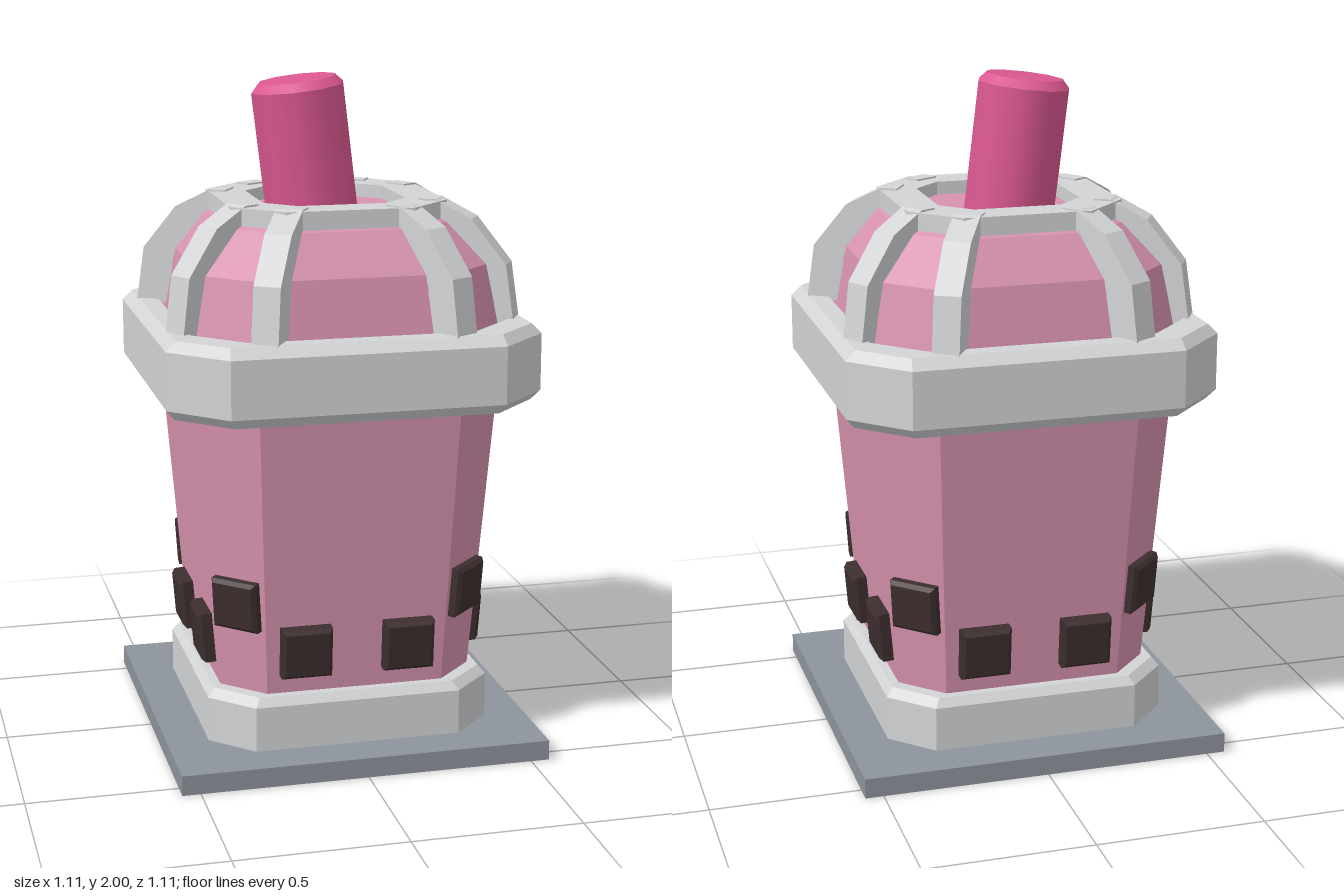
import * as THREE from 'three';

const mat = (name, color) => {
  const m = new THREE.MeshStandardMaterial({ color });
  m.name = name;
  return m;
};

// Square of half-width h with corners cut by c, counter-clockwise from above
function ringPoints([y, h, c]) {
  const f = h - c;
  return [[-f, h], [f, h], [h, f], [h, -f], [f, -h], [-f, -h], [-h, -f], [-h, f]]
    .map(([x, z]) => [x, y, z]);
}

// Flat-sided loft through rings [y, halfWidth, cornerCut]; a zero ring closes an end
function loft(profile) {
  const pos = [];
  const rings = profile.map(ringPoints);
  for (let k = 0; k < rings.length - 1; k++) {
    const a = rings[k], b = rings[k + 1];
    for (let i = 0; i < 8; i++) {
      const j = (i + 1) % 8;
      if (profile[k][1] > 0) pos.push(...a[i], ...a[j], ...b[j]);
      if (profile[k + 1][1] > 0) pos.push(...a[i], ...b[j], ...b[i]);
    }
  }
  const g = new THREE.BufferGeometry();
  g.setAttribute('position', new THREE.Float32BufferAttribute(pos, 3));
  g.computeVertexNormals();
  return g;
}

export function createModel() {
  const model = new THREE.Group();
  model.name = 'bubbleTeaCup';
  const grey = mat('light grey trim', 0xd2d4d6);
  const slate = mat('slate plate', 0x8e949c);
  const pink = mat('milky pink', 0xd893af);
  const magenta = mat('straw magenta', 0xdc5891);
  const brown = mat('pearl brown', 0x3d2e2e);

  const add = (name, geometry, material, parent = model) => {
    const mesh = new THREE.Mesh(geometry, material);
    mesh.name = name;
    parent.add(mesh);
    return mesh;
  };

  // Ground plate and foot
  add('basePlate', new THREE.BoxGeometry(1.11, 0.06, 1.11), slate).position.y = 0.03;
  add('foot', loft([
    [0.06, 0, 0], [0.06, 0.43, 0.12], [0.195, 0.43, 0.12], [0.22, 0.41, 0.115], [0.22, 0, 0],
  ]), grey);

  // Flared cup
  add('cup', loft([
    [0.2, 0, 0], [0.2, 0.383, 0.117], [1.27, 0.47, 0.165], [1.27, 0, 0],
  ]), pink);

  // Thick rim around the cup mouth
  add('rim', loft([
    [1.07, 0.44, 0.15], [1.07, 0.53, 0.145], [1.1, 0.555, 0.155], [1.27, 0.555, 0.155],
    [1.3, 0.525, 0.13], [1.3, 0.47, 0.14], [1.2, 0.47, 0.14],
  ]), grey);

  // Domed lid with its collar
  add('dome', loft([
    [1.25, 0.455, 0.14], [1.3, 0.447, 0.14], [1.46, 0.42, 0.135],
    [1.58, 0.335, 0.13], [1.6, 0.3, 0.12], [1.6, 0, 0],
  ]), pink);
  add('collar', loft([
    [1.58, 0.2, 0.08], [1.58, 0.325, 0.135], [1.64, 0.325, 0.135],
    [1.64, 0.215, 0.085], [1.58, 0.215, 0.085],
  ]), grey);

  // Eight radial ribs over the dome, profile in (radius, height)
  const ribShape = new THREE.Shape([
    [0.59, 1.29], [0.565, 1.46], [0.46, 1.59], [0.35, 1.645],
    [0.3, 1.645], [0.3, 1.57], [0.4, 1.53], [0.47, 1.43], [0.48, 1.29],
  ].map(([r, y]) => new THREE.Vector2(r, y)));
  const ribGeometry = new THREE.ExtrudeGeometry(ribShape, { depth: 0.08, bevelEnabled: false });
  ribGeometry.translate(0, 0, -0.04);
  for (let q = 0; q < 4; q++) {
    for (const a of [Math.PI / 6, Math.PI / 3]) {
      add('domeRib', ribGeometry, grey).rotation.y = a + q * Math.PI / 2;
    }
  }

  // Square pearls: two on every side, one on every cut corner
  const s = 0.065;
  const square = new THREE.Shape([
    new THREE.Vector2(-s, -s), new THREE.Vector2(s, -s),
    new THREE.Vector2(s, s), new THREE.Vector2(-s, s),
  ]);
  const pearlGeometry = new THREE.ExtrudeGeometry(square, {
    depth: 0.05, bevelSize: 0.011, bevelThickness: 0.011, bevelSegments: 1,
  });
  pearlGeometry.translate(0, 0, -0.061);
  const addPearl = (angle, x, y, z) => {
    const turn = new THREE.Group();
    turn.name = 'pearl';
    turn.rotation.y = angle;
    const pearl = add('pearlBlock', pearlGeometry, brown, turn);
    pearl.position.set(x, y, z);
    pearl.rotation.x = 0.08;
    model.add(turn);
  };
  for (let q = 0; q < 4; q++) {
    const a = q * Math.PI / 2;
    for (const x of [-0.155, 0.155]) addPearl(a, x, 0.35, 0.438);
    addPearl(a + Math.PI / 4, 0, 0.492, 0.516);
  }

  // Leaning ten-sided straw with a bevelled tip
  const straw = new THREE.Group();
  straw.name = 'straw';
  straw.position.set(-0.085, 1.985, 0);
  straw.rotation.z = 0.12;
  const tube = new THREE.CylinderGeometry(0.14, 0.14, 0.4, 10, 1, true);
  tube.rotateY(Math.PI / 2).translate(0, -0.225, 0);
  add('strawTube', tube, magenta, straw);
  const tip = new THREE.CylinderGeometry(0.117, 0.14, 0.025, 10);
  tip.rotateY(Math.PI / 2).translate(0, -0.0125, 0);
  add('strawTip', tip, magenta, straw);
  model.add(straw);

  return model;
}
